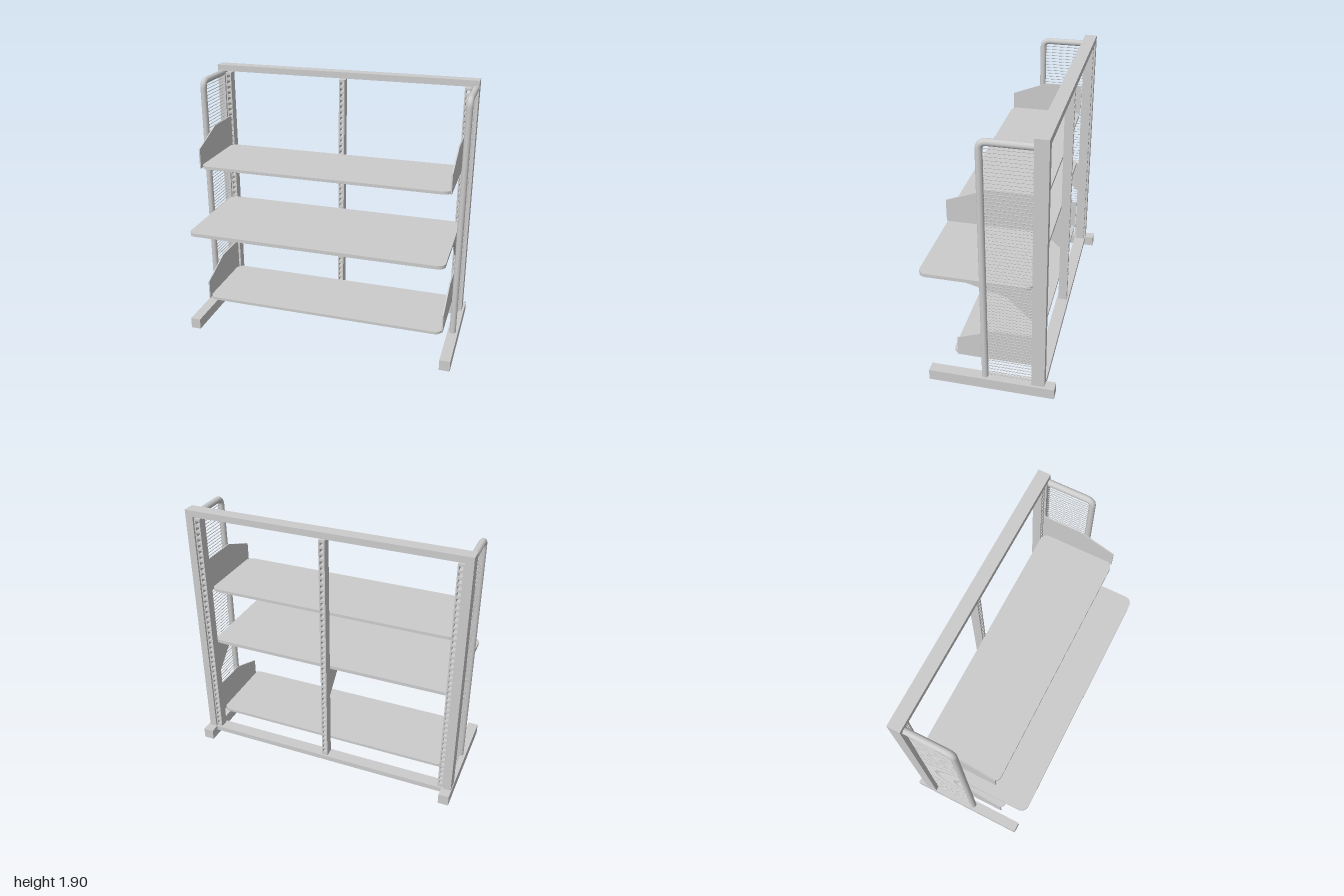
import * as THREE from 'three';

const material = new THREE.MeshStandardMaterial({ color: 0xcccccc });

export function createModel() {
  const model = new THREE.Group();
  model.name = 'shelvingUnit';

  const add = (name, geometry, parent = model) => {
    const mesh = new THREE.Mesh(geometry, material);
    mesh.name = name;
    parent.add(mesh);
    return mesh;
  };

  // Box given by its lower and upper corners
  const box = (name, [x0, y0, z0], [x1, y1, z1]) =>
    add(name, new THREE.BoxGeometry(x1 - x0, y1 - y0, z1 - z0))
      .position.set((x0 + x1) / 2, (y0 + y1) / 2, (z0 + z1) / 2);

  // Back frame and feet
  box('leftPost', [0.93, 0.08, -0.4], [0.984, 1.86, -0.31]);
  box('rightPost', [-0.995, 0.08, -0.4], [-0.94, 1.86, -0.31]);
  box('topBeam', [-0.995, 1.86, -0.4], [0.984, 1.905, -0.31]);
  box('bottomBeam', [-0.925, 0.043, -0.4], [0.925, 0.08, -0.31]);
  box('leftFoot', [0.923, 0, -0.47], [1, 0.08, 0.41]);
  box('rightFoot', [-1, 0, -0.47], [-0.925, 0.08, 0.41]);

  // Slotted uprights: one strip with a row of slots pushed through its depth
  const rect = (target, x0, y0, x1, y1) =>
    target.moveTo(x0, y0).lineTo(x1, y0).lineTo(x1, y1).lineTo(x0, y1).closePath();
  const strip = rect(new THREE.Shape(), -0.022, 0.08, 0.022, 1.845);
  for (let i = 0; i < 40; i++) {
    const y = 0.105 + i * 0.0435;
    strip.holes.push(rect(new THREE.Path(), -0.013, y, 0.013, y + 0.026));
  }
  const railGeometry = new THREE.ExtrudeGeometry(strip, { depth: 0.065, bevelEnabled: false });
  for (const x of [-0.917, -0.011, 0.906]) {
    add('slottedUpright', railGeometry).position.set(x, 0, -0.388);
  }

  // Side guards: bent tube with a ladder of thin wires
  const v = (y, z) => new THREE.Vector3(0, y, z);
  const path = new THREE.CurvePath();
  path.add(new THREE.LineCurve3(v(0.08, 0.016), v(1.796, 0.016)));
  path.add(new THREE.QuadraticBezierCurve3(v(1.796, 0.016), v(1.846, 0.016), v(1.846, -0.034)));
  path.add(new THREE.LineCurve3(v(1.846, -0.034), v(1.846, -0.312)));
  const tubeGeometry = new THREE.TubeGeometry(path, 180, 0.023, 16);
  const wireGeometry = new THREE.CylinderGeometry(0.003, 0.003, 0.325, 6).rotateX(Math.PI / 2);
  for (const x of [-0.96, 0.961]) {
    const guard = new THREE.Group();
    guard.name = 'sideGuard';
    guard.position.x = x;
    add('guardTube', tubeGeometry, guard);
    for (let i = 0; i < 70; i++) {
      add('guardWire', wireGeometry, guard).position.set(0, 0.1 + i * 0.0247, -0.15);
    }
    model.add(guard);
  }

  // Flat board with rounded corners
  const board = (name, x0, x1, z0, z1, y, thickness) => {
    const r = 0.055, s = new THREE.Shape();
    const [b, t] = [-z1, -z0];
    s.moveTo(x0 + r, b).lineTo(x1 - r, b);
    s.absarc(x1 - r, b + r, r, -Math.PI / 2, 0);
    s.absarc(x1 - r, t - r, r, 0, Math.PI / 2);
    s.absarc(x0 + r, t - r, r, Math.PI / 2, Math.PI);
    s.absarc(x0 + r, b + r, r, Math.PI, Math.PI * 1.5);
    const g = new THREE.ExtrudeGeometry(s, { depth: thickness, bevelEnabled: false, curveSegments: 8 });
    add(name, g.rotateX(-Math.PI / 2)).position.y = y;
  };
  board('upperShelf', -0.905, 0.905, -0.306, 0.256, 1.26, 0.021);
  board('lowerShelf', -0.905, 0.905, -0.306, 0.256, 0.185, 0.021);
  board('desktop', -0.932, 0.925, -0.3, 0.47, 0.815, 0.025);

  // Sheet bracket from a [z, y] outline, extruded across x
  const bracket = (name, points, x, y, z = 0, thickness = 0.009) => {
    const s = new THREE.Shape(points.map(([pz, py]) => new THREE.Vector2(-pz, py)));
    const g = new THREE.ExtrudeGeometry(s, { depth: thickness, bevelEnabled: false });
    add(name, g.rotateY(Math.PI / 2)).position.set(x - thickness / 2, y, z);
  };
  const endPlate = [[0.247, 0], [0.247, 0.145], [-0.025, 0.25], [-0.31, 0.25], [-0.31, 0]];
  for (const y of [1.26, 0.187]) {
    bracket('shelfEndPlate', endPlate, -0.91, y);
    bracket('shelfEndPlate', endPlate, 0.906, y, y < 1 ? -0.025 : 0);
  }
  const gusset = [[0.175, 0], [-0.13, -0.083], [-0.31, -0.26], [-0.33, -0.26], [-0.33, 0]];
  for (const x of [-0.922, -0.011, 0.906]) bracket('desktopBracket', gusset, x, 0.815, 0, 0.014);

  return model;
}
